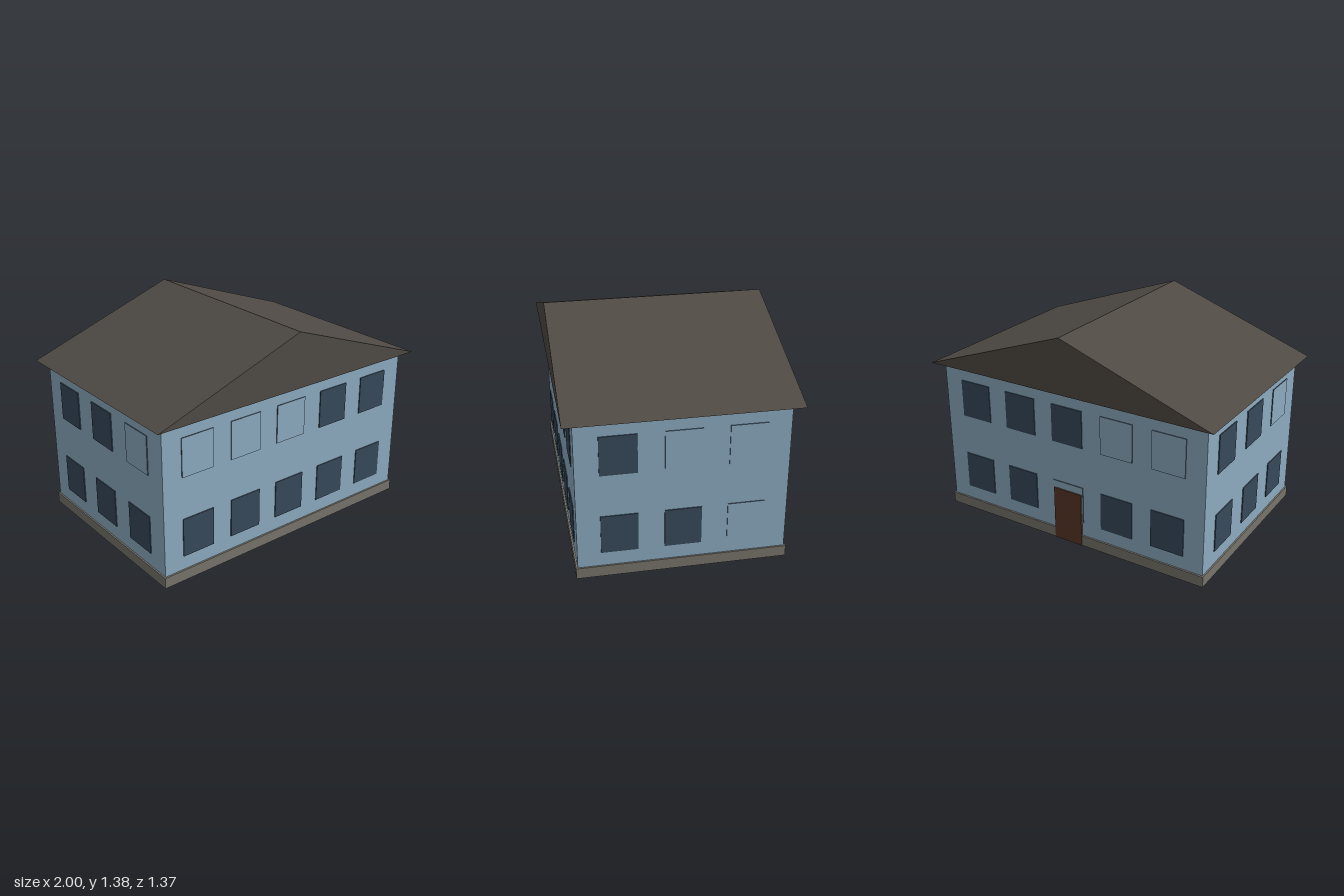
import * as THREE from 'three';

const material = (name, color) => {
  const m = new THREE.MeshStandardMaterial({ color });
  m.name = name;
  return m;
};

export function createModel() {
  const house = new THREE.Group();
  house.name = 'house';

  const wallBlue = material('wallBlue', 0x8cabc0);
  const glassNavy = material('glassNavy', 0x37495b);
  const stoneGrey = material('stoneGrey', 0x77746c);
  const roofBrown = material('roofBrown', 0x4f4a44);
  const doorBrown = material('doorBrown', 0x5a3628);

  const W = 0.94, D = 0.626; // half width and half depth of the walls
  const plinthTop = 0.07, eave = 1.025, ridge = 1.38;

  function box(name, w, h, d, x, y, z, mat) {
    const mesh = new THREE.Mesh(new THREE.BoxGeometry(w, h, d), mat);
    mesh.name = name;
    mesh.position.set(x, y, z);
    house.add(mesh);
    return mesh;
  }

  // Plinth and walls
  box('plinth', 1.9, plinthTop, 1.274, 0, plinthTop / 2, 0, stoneGrey);
  box('walls', 2 * W, eave - plinthTop, 2 * D, 0, (eave + plinthTop) / 2, 0, wallBlue);

  // Gabled roof, a solid prism along z
  const gable = new THREE.Shape([
    new THREE.Vector2(-1, eave),
    new THREE.Vector2(1, eave),
    new THREE.Vector2(0, ridge),
  ]);
  const roofGeometry = new THREE.ExtrudeGeometry(gable, { depth: 1.374, bevelEnabled: false });
  roofGeometry.translate(0, 0, -0.687);
  const roof = new THREE.Mesh(roofGeometry, roofBrown);
  roof.name = 'roof';
  house.add(roof);

  // Windows: 1 is dark glass, 0 is a blind panel in the wall colour with dark edges
  const pane = new THREE.BoxGeometry(0.22, 0.247, 0.006);
  const blind = [glassNavy, glassNavy, glassNavy, glassNavy, wallBlue, glassNavy];
  const rowHeights = [0.285, 0.802];

  // Each facade lists its lower and upper row from left to right, seen from outside
  const facades = [
    { name: 'front', turn: 0, out: D, step: 0.35, rows: [[1, 1, 1, 1, 1], [0, 0, 0, 1, 1]] },
    { name: 'right', turn: Math.PI / 2, out: W, step: 0.376, rows: [[1, 1, 0], [1, 0, 0]] },
    { name: 'back', turn: Math.PI, out: D, step: 0.35, rows: [[1, 1, 0, 1, 1], [1, 1, 1, 0, 0]] },
    { name: 'left', turn: -Math.PI / 2, out: W, step: 0.376, rows: [[1, 1, 1], [1, 1, 0]] },
  ];
  for (const { name, turn, out, step, rows } of facades) {
    const side = new THREE.Group();
    side.name = name + 'Windows';
    side.rotation.y = turn;
    rows.forEach((row, r) => row.forEach((glazed, i) => {
      const win = new THREE.Mesh(pane, glazed ? glassNavy : blind);
      win.name = glazed ? 'window' : 'blindWindow';
      win.position.set((i - (row.length - 1) / 2) * step, rowHeights[r], out + 0.003);
      side.add(win);
    }));
    house.add(side);
  }

  // Back door, standing just proud of the plinth
  box('door', 0.2, 0.36, 0.02, 0, 0.18, -0.63, doorBrown);

  return house;
}
